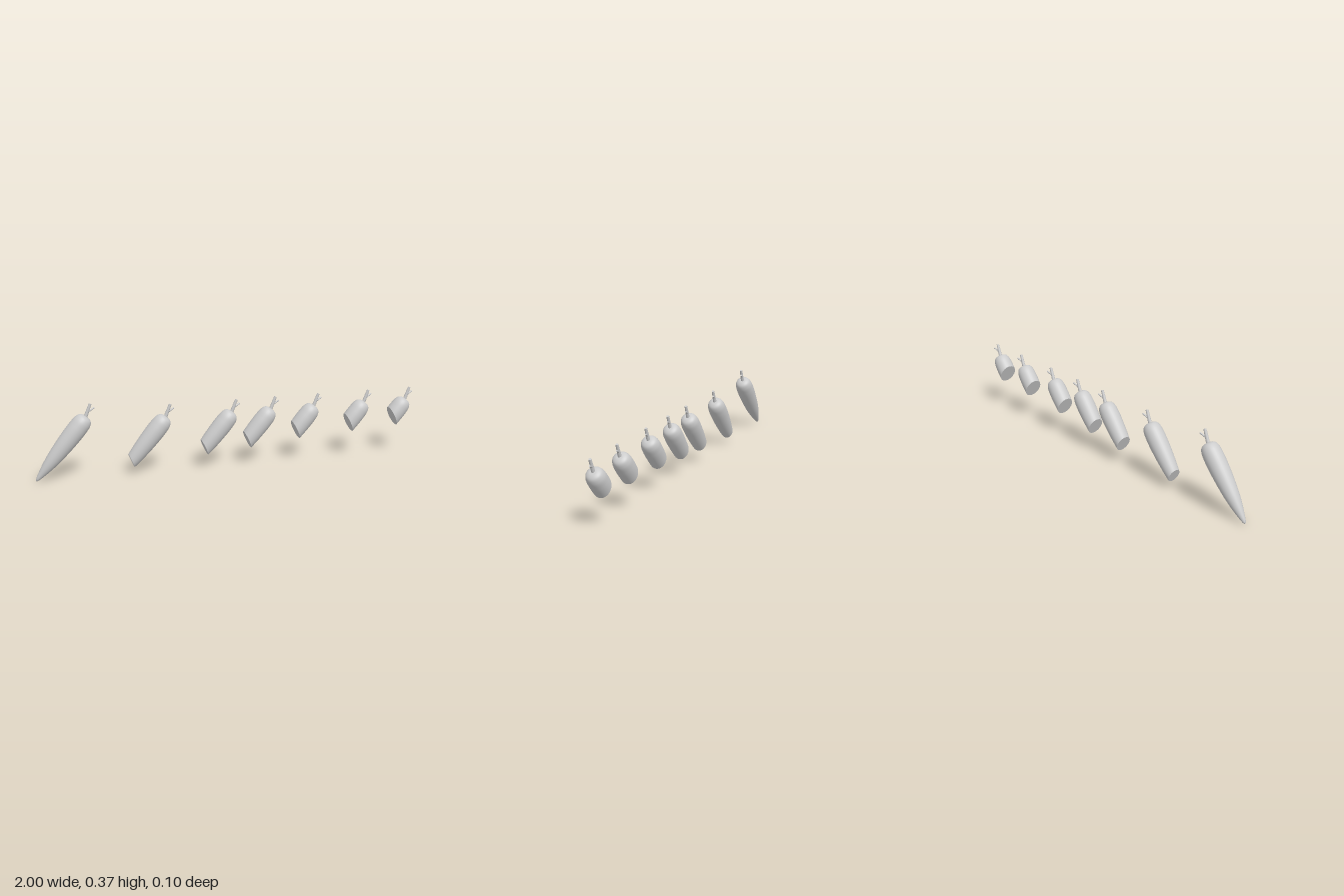
import * as THREE from 'three';
import { ParametricGeometry } from 'three/addons/geometries/ParametricGeometry.js';

const material = new THREE.MeshStandardMaterial({ color: 0xcccccc });
const SLOPE = 0.5; // slant of the cut across the root

// half outline of the root, from tip to crown: radius, height
const profile = new THREE.CatmullRomCurve3([
  [0.0005, 0], [0.005, 0.003], [0.019, 0.05], [0.033, 0.12], [0.042, 0.2], [0.0465, 0.27],
  [0.0475, 0.33], [0.044, 0.368], [0.035, 0.388], [0.02, 0.397], [0.0005, 0.399],
].map(([r, y]) => new THREE.Vector3(r, y, 0)), false, 'centripetal');

// curve parameter where the outline at this angle meets the cut plane
function cutStart(cut, cos) {
  if (!cut) return 0;
  let lo = 0, hi = 0.85;
  for (let i = 0; i < 26; i++) {
    const mid = (lo + hi) / 2;
    const p = profile.getPoint(mid);
    if (p.y + SLOPE * p.x * cos < cut) lo = mid; else hi = mid;
  }
  return lo;
}

function rootPoint(cut, u, v, target) {
  const a = u * Math.PI * 2;
  const t0 = cutStart(cut, Math.cos(a));
  const p = profile.getPoint(t0 + (1 - t0) * v);
  return target.set(p.x * Math.cos(a), p.y, -p.x * Math.sin(a));
}

function named(geometry, name) {
  const mesh = new THREE.Mesh(geometry, material);
  mesh.name = name;
  return mesh;
}

// tapered rod between two points
function rod(from, to, r0, r1, name) {
  const a = new THREE.Vector3(...from), b = new THREE.Vector3(...to);
  const dir = b.clone().sub(a);
  const mesh = named(new THREE.CylinderGeometry(r1, r0, dir.length(), 10), name);
  mesh.position.copy(a).add(b).multiplyScalar(0.5);
  mesh.quaternion.setFromUnitVectors(new THREE.Vector3(0, 1, 0), dir.normalize());
  return mesh;
}

function carrot(cut) {
  const g = new THREE.Group();
  g.name = 'carrot';
  g.add(named(new ParametricGeometry((u, v, t) => rootPoint(cut, u, v, t), 32, 40), 'root'));

  // flat slanted face where the end has been cut away
  if (cut) {
    const face = new ParametricGeometry((u, v, t) => {
      rootPoint(cut, u, 0, t);
      t.set(t.x * v, cut + (t.y - cut) * v, t.z * v);
    }, 32, 1);
    face.computeVertexNormals();
    g.add(named(face, 'cutFace'));
  }

  // leaf stalk with a short side shoot
  g.add(rod([0, 0.385, 0], [-0.025, 0.46, 0], 0.0095, 0.007, 'stalk'));
  g.add(rod([-0.01, 0.42, 0], [0.005, 0.455, -0.01], 0.005, 0.004, 'sideShoot'));
  return g;
}

export function createModel() {
  const model = new THREE.Group();
  model.name = 'carrotRow';
  // x offset, lift, height of the cut along the root
  const row = [
    [0, 0.03, 0], [0.397, 0, 0.118], [0.74, 0, 0.169], [0.948, 0, 0.198],
    [1.182, 0, 0.24], [1.462, 0, 0.262], [1.698, 0, 0.284],
  ];
  for (const [x, lift, cut] of row) {
    const c = carrot(cut);
    c.position.set(x - 0.997, lift - 0.027, 0);
    c.rotation.z = -THREE.MathUtils.degToRad(40);
    model.add(c);
  }
  return model;
}
